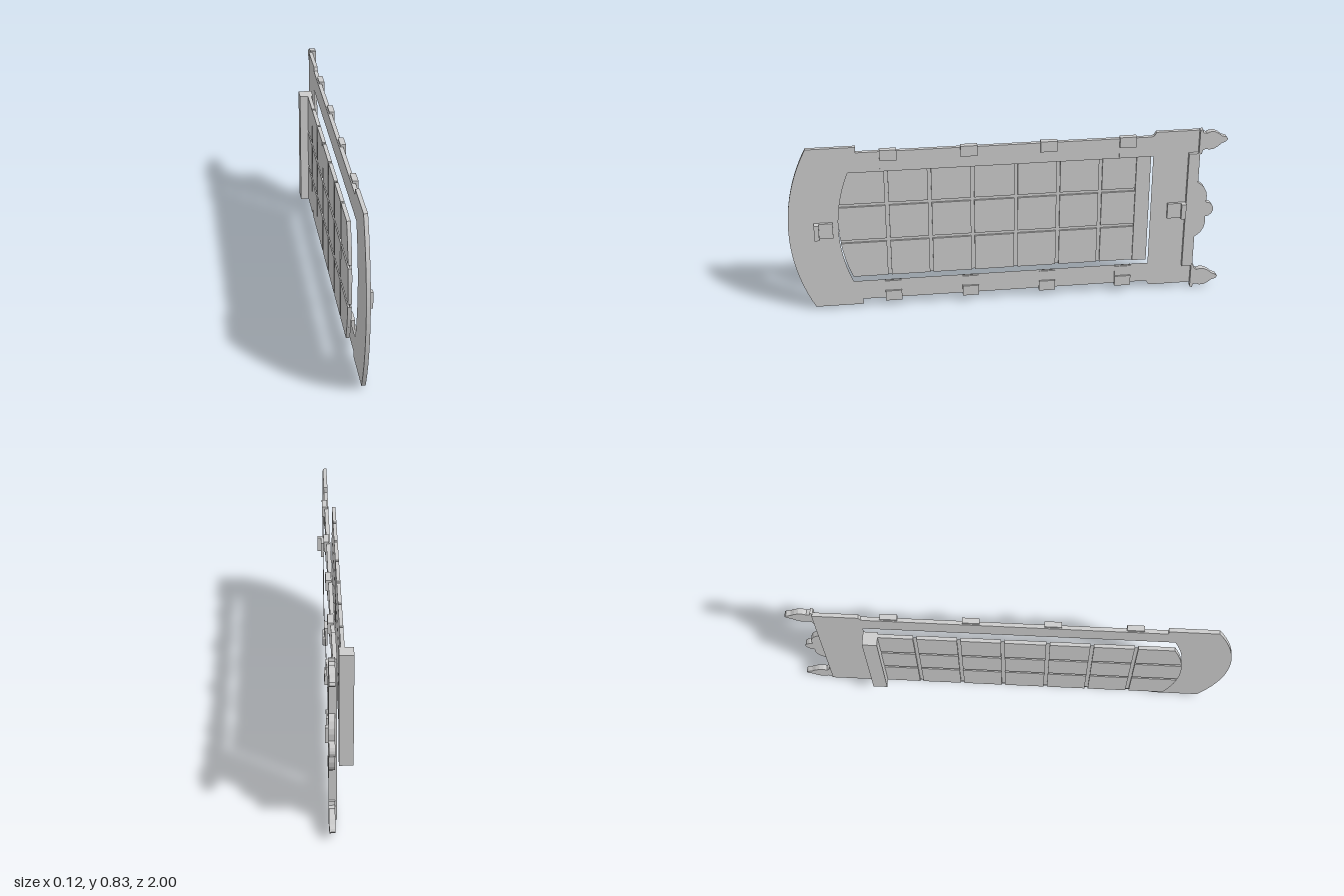
import * as THREE from 'three';

const MID = 0.42; // height of the symmetry line
const material = new THREE.MeshStandardMaterial({ color: 0xcccccc, flatShading: true });
const sheetMaterial = new THREE.MeshStandardMaterial({ color: 0xcccccc, side: THREE.DoubleSide });

// Profiles are drawn as [u, y] with u = -z, and extruded along x.
const toShape = (points) => new THREE.Shape(points.map(([u, y]) => new THREE.Vector2(u, y)));

function slab(name, shape, x0, x1) {
  const g = new THREE.ExtrudeGeometry(shape, { depth: x1 - x0, bevelEnabled: false, curveSegments: 10 });
  g.rotateY(Math.PI / 2);
  g.translate(x0, 0, 0);
  const mesh = new THREE.Mesh(g, material);
  mesh.name = name;
  return mesh;
}

function block(name, x0, x1, y0, y1, z0, z1) {
  const mesh = new THREE.Mesh(new THREE.BoxGeometry(x1 - x0, y1 - y0, z1 - z0), material);
  mesh.position.set((x0 + x1) / 2, (y0 + y1) / 2, (z0 + z1) / 2);
  mesh.name = name;
  return mesh;
}

// Bowed left edge from y0 to y1, a circle arc about (cu, MID)
function bow(cu, r, y0, y1, n) {
  return Array.from({ length: n + 1 }, (_, i) => {
    const y = y0 + ((y1 - y0) * i) / n;
    return [cu - Math.sqrt(r * r - (y - MID) ** 2), y];
  });
}

const flip = (points, mid) => points.map(([u, y]) => [u, 2 * mid - y]).reverse();

function makeFrame() {
  const top = [[-0.68, 0.825], [-0.68, 0.798], [0.65, 0.798], [0.662, 0.802], [0.672, 0.82], [0.875, 0.82]];
  const shape = toShape([...bow(-0.13, 0.87, 0.015, 0.825, 20), ...top, ...flip(top, MID)]);
  const hole = [...bow(-0.035, 0.74, 0.14, 0.7, 16), [0.662, 0.7], [0.662, 0.14]];
  shape.holes.push(new THREE.Path(hole.map(([u, y]) => new THREE.Vector2(u, y))));
  return slab('frame', shape, 0.015, 0.033);
}

function makePanel() {
  const panel = new THREE.Group();
  panel.name = 'panel';
  const gap = 0.008;
  const us = [-0.775, -0.55, -0.355, -0.16, 0.04, 0.235, 0.43, 0.595];
  const ys = [0.14, 0.327, 0.513, 0.7];
  for (let c = 0; c < 7; c++) {
    for (let r = 0; r < 3; r++) {
      const y0 = ys[r] + (r > 0 ? gap : 0);
      const y1 = ys[r + 1] - (r < 2 ? gap : 0);
      const u1 = us[c + 1] - (c < 6 ? gap : 0);
      const left = c === 0 ? bow(-0.035, 0.74, y0, y1, 6) : [[us[c] + gap, y0], [us[c] + gap, y1]];
      panel.add(slab('panelTile', toShape([...left, [u1, y1], [u1, y0]]), -0.025, -0.008));
    }
  }
  // Thin sheet closing the grooves between the tiles
  const g = new THREE.ShapeGeometry(toShape([...bow(-0.035, 0.74, 0.14, 0.7, 18), [0.595, 0.7], [0.595, 0.14]]));
  g.rotateY(Math.PI / 2);
  g.translate(-0.0165, 0, 0);
  const sheet = new THREE.Mesh(g, sheetMaterial);
  sheet.name = 'panelSheet';
  panel.add(sheet);
  return panel;
}

function makeCrest() {
  // Lobed crest on the end of the frame
  const half = [[0.87, 0.565], [0.885, 0.555], [0.902, 0.54], [0.916, 0.515], [0.921, 0.49], [0.919, 0.457],
    [0.934, 0.454], [0.947, 0.443], [0.954, 0.43]];
  return slab('crest', toShape([...half, [0.956, MID], ...flip(half, MID)]), 0.024, 0.05);
}

function makeFinials() {
  const group = new THREE.Group();
  group.name = 'finials';
  const outline = [[0.87, 0.825], [0.882, 0.829], [0.884, 0.814], [0.9, 0.81], [0.915, 0.817], [0.935, 0.817],
    [0.955, 0.807], [0.972, 0.793], [0.993, 0.787], [1, 0.776], [0.992, 0.766], [0.972, 0.757],
    [0.955, 0.742], [0.935, 0.731], [0.915, 0.728], [0.898, 0.733], [0.886, 0.725], [0.882, 0.708], [0.87, 0.705]];
  group.add(slab('upperFinial', toShape(outline), 0.024, 0.05));
  group.add(slab('lowerFinial', toShape(flip(outline, 0.4145)), 0.024, 0.05));
  return group;
}

export function createModel() {
  const model = new THREE.Group();
  model.name = 'slidingPanelFrame';
  model.add(makeFrame(), makePanel(), makeCrest(), makeFinials());
  model.add(block('panelHandle', -0.063, 0, 0.14, 0.7, -0.66, -0.594));
  model.add(block('endStrip', 0.03, 0.05, 0.12, 0.71, -0.875, -0.825));

  // Edge clips, each with a thinner inner pad
  for (const z of [-0.542, -0.182, 0.178, 0.538]) {
    for (const upper of [true, false]) {
      const span = (a, b) => (upper ? [a, b] : [2 * MID - b, 2 * MID - a]);
      model.add(block('edgeClip', 0.02, 0.045, ...span(0.757, 0.808), z - 0.038, z + 0.038));
      model.add(block('clipPad', 0.02, 0.037, ...span(0.707, 0.757), z - 0.038, z + 0.038));
    }
  }

  // Stepped catches at both ends
  for (const [z0, z1, lip0, lip1] of [[0.8, 0.885, 0.863, 0.885], [-0.825, -0.74, -0.825, -0.803]]) {
    model.add(block('catchBase', 0.03, 0.045, 0.38, 0.456, z0, z1));
    model.add(block('catchLip', 0.045, 0.062, 0.38, 0.456, lip0, lip1));
  }
  return model;
}
